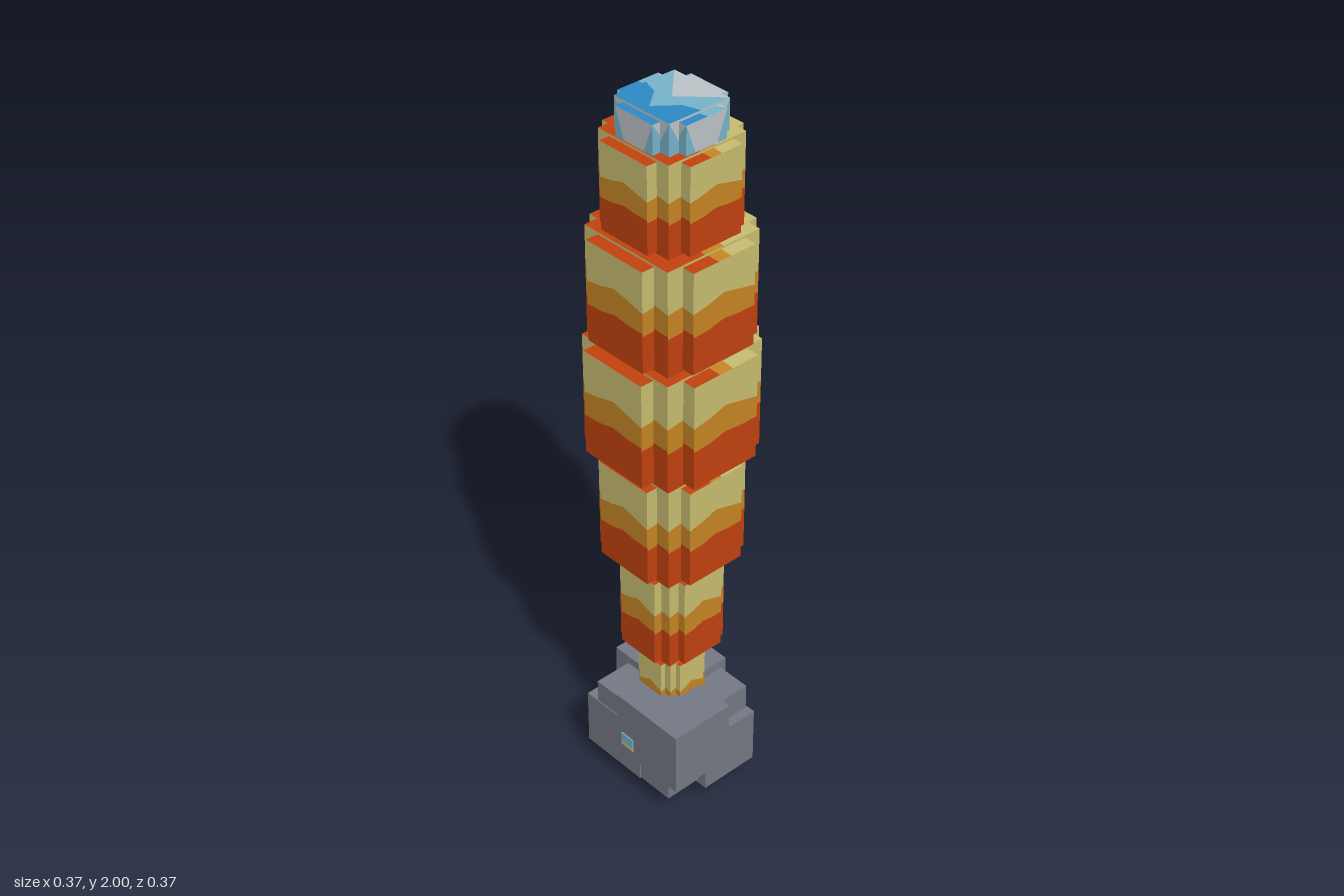
import * as THREE from 'three';

const mat = (name, color) => {
  const m = new THREE.MeshStandardMaterial({ color });
  m.name = name;
  return m;
};
const khaki = mat('khaki', 0xcabf72);
const amber = mat('amber', 0xc98724);
const rust = mat('rust', 0xc4420f);
const stone = mat('stone grey', 0x767a85);
const frost = mat('frost grey', 0xbec5c9);
const paleBlue = mat('pale blue', 0x78b6cc);
const deepBlue = mat('deep blue', 0x2d8cca);

// Band edges, measured down each face from its top, at even steps across it
const FIRE = {
  mats: [khaki, amber, rust],
  edges: [[0.4, 0.37, 0.32, 0.36, 0.4], [0.63, 0.62, 0.58, 0.6, 0.6]],
};
const ICE = {
  mats: [frost, paleBlue, deepBlue],
  edges: [[0, 0.25, 0.5, 0.25, 0], [0.48, 0.56, 0.87, 0.56, 0.48]],
};

// Each face as its right and up directions; the normal is their cross product
const FACES = [
  [[1, 0, 0], [0, 1, 0]], [[-1, 0, 0], [0, 1, 0]],
  [[0, 0, -1], [0, 1, 0]], [[0, 0, 1], [0, 1, 0]],
  [[1, 0, 0], [0, 0, -1]], [[1, 0, 0], [0, 0, 1]],
].map(f => f.map(a => new THREE.Vector3(...a)));

// A box whose six faces are each divided into three wavy bands
function bandedBox(w, h, d, style) {
  const half = new THREE.Vector3(w / 2, h / 2, d / 2);
  const pos = [], nor = [];
  const geo = new THREE.BufferGeometry();
  const rows = [[0, 0, 0, 0, 0], ...style.edges, [1, 1, 1, 1, 1]];
  for (let band = 0; band < 3; band++) {
    const start = pos.length / 3;
    for (const [u, v] of FACES) {
      const n = u.clone().cross(v);
      const put = (i, row) => {
        const p = n.clone().addScaledVector(u, i / 2 - 1)
          .addScaledVector(v, 1 - 2 * rows[row][i]).multiply(half);
        pos.push(p.x, p.y, p.z);
        nor.push(n.x, n.y, n.z);
      };
      for (let i = 0; i < 4; i++) {
        put(i, band + 1); put(i + 1, band + 1); put(i + 1, band);
        put(i, band + 1); put(i + 1, band); put(i, band);
      }
    }
    geo.addGroup(start, pos.length / 3 - start, band);
  }
  geo.setAttribute('position', new THREE.Float32BufferAttribute(pos, 3));
  geo.setAttribute('normal', new THREE.Float32BufferAttribute(nor, 3));
  return geo;
}

// Three crossed boxes that together suggest a rounded column section
function crossSection(name, y0, y1, r, style) {
  const g = new THREE.Group();
  g.name = name;
  const h = y1 - y0, trim = Math.min(0.012, h * 0.1);
  for (const [x, z, height] of [[1, 0.54, h - trim], [0.8, 0.8, h], [0.54, 1, h - trim]]) {
    const m = new THREE.Mesh(bandedBox(2 * r * x, height, 2 * r * z, style), style.mats);
    m.name = name + 'Block';
    m.position.y = (y0 + y1) / 2;
    g.add(m);
  }
  return g;
}

// Plain box given by its minimum and maximum corners
function box(name, material, [x0, y0, z0], [x1, y1, z1]) {
  const m = new THREE.Mesh(new THREE.BoxGeometry(x1 - x0, y1 - y0, z1 - z0), material);
  m.name = name;
  m.position.set((x0 + x1) / 2, (y0 + y1) / 2, (z0 + z1) / 2);
  return m;
}

export function createModel() {
  const model = new THREE.Group();
  model.name = 'segmentedColumn';

  // Banded column segments, bottom to top: base, top, half width
  const segments = [
    [0.2, 0.435, 0.075], [0.47, 0.737, 0.115], [0.765, 1.055, 0.157],
    [1.08, 1.38, 0.185], [1.395, 1.675, 0.174], [1.685, 1.92, 0.143],
  ];
  for (const [y0, y1, r] of segments) model.add(crossSection('columnSegment', y0, y1, r, FIRE));

  // Blue tip and the inner core glimpsed between segments
  model.add(crossSection('iceTip', 1.67, 2, 0.111, ICE));
  for (const [y0, y1, r] of [[0.7, 0.8, 0.016], [1.02, 1.12, 0.05], [1.34, 1.44, 0.075]]) {
    model.add(box('innerCore', paleBlue, [-r, y0, -r], [r, y1, r]));
  }

  // Cluster of overlapping stone blocks
  const rocks = [
    [[-0.137, 0.069, -0.137], [0.137, 0.295, 0.137]],
    [[-0.04, 0.14, -0.03], [0.185, 0.325, 0.155]],
    [[-0.185, 0.13, -0.155], [0.04, 0.318, 0.03]],
    [[-0.175, 0.067, -0.03], [0.03, 0.23, 0.14]],
    [[-0.03, 0.055, -0.142], [0.163, 0.22, 0.03]],
  ];
  for (const [a, b] of rocks) model.add(box('baseRock', stone, a, b));

  // Bar through the rocks, with a khaki lower strip
  model.add(box('crossBar', paleBlue, [-0.022, 0.178, -0.158], [0.022, 0.207, 0.158]));
  model.add(box('crossBarStrip', khaki, [-0.022, 0.168, -0.158], [0.022, 0.178, 0.158]));

  // Stub beneath the rocks
  model.add(box('bottomStub', rust, [-0.028, 0, -0.028], [0.028, 0.1, 0.028]));

  return model;
}
